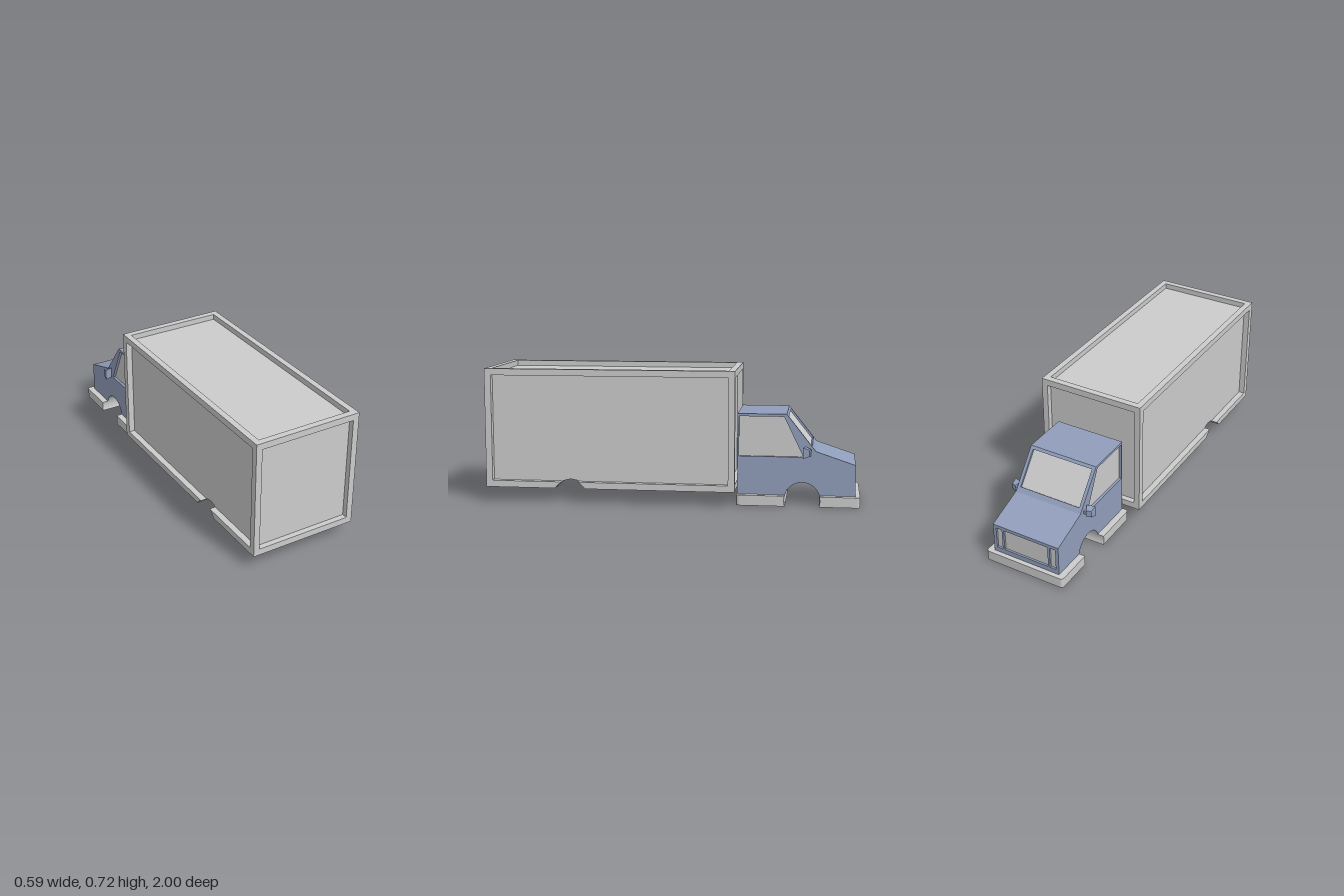
import * as THREE from 'three';
import { toCreasedNormals } from 'three/addons/utils/BufferGeometryUtils.js';

const grey = new THREE.MeshStandardMaterial({ color: 0xcccccc, side: THREE.DoubleSide });
const blue = new THREE.MeshStandardMaterial({ color: 0x919ebb });
const ARCH_R = 0.095, ARCH_Y = 0.03, FRONT_AXLE = -0.695, REAR_AXLE = 0.54;

const archHalf = (y) => Math.sqrt(ARCH_R ** 2 - (y - ARCH_Y) ** 2);

function add(parent, name, geometry, material) {
  const mesh = new THREE.Mesh(geometry, material);
  mesh.name = name;
  parent.add(mesh);
  return mesh;
}

// Extrudes a side profile drawn as (z, y) between two x positions
function slab(shape, x0, x1) {
  const g = new THREE.ExtrudeGeometry(shape, { depth: x1 - x0, bevelEnabled: false, curveSegments: 20 });
  g.rotateY(-Math.PI / 2).translate(x1, 0, 0);
  return toCreasedNormals(g, 0.5);
}

// Points along a wheel arch from +z to -z, starting and ending at height y
function archPoints(zc, y) {
  const a = Math.asin((y - ARCH_Y) / ARCH_R), n = 20;
  return Array.from({ length: n + 1 }, (_, i) => {
    const t = a + (Math.PI - 2 * a) * i / n;
    return [zc + ARCH_R * Math.cos(t), ARCH_Y + ARCH_R * Math.sin(t)];
  });
}

const shapeOf = (pts) => new THREE.Shape(pts.map(([a, b]) => new THREE.Vector2(a, b)));

function createCargoBox() {
  const box = new THREE.Group();
  box.name = 'cargoBox';
  const z0 = -0.343, z1 = 1, y0 = 0.08, y1 = 0.72, w = 0.295, rim = 0.035, d = 0.03;
  const zi0 = z0 + rim, zi1 = z1 - rim, yi0 = y0 + rim, yi1 = y1 - rim;
  // Core with recessed front, roof and rear panels
  add(box, 'boxCore', slab(shapeOf([
    ...archPoints(REAR_AXLE, y0),
    [z0, y0], [z0, yi0], [z0 + d, yi0], [z0 + d, yi1], [z0, yi1], [z0, y1],
    [zi0, y1], [zi0, y1 - d], [zi1, y1 - d], [zi1, y1],
    [z1, y1], [z1, yi1], [z1 - d, yi1], [z1 - d, yi0], [z1, yi0], [z1, y0],
  ]), -w + 0.033, w - 0.033), grey);
  // Side frames, broken where the wheel arch passes through the lower rail
  const half = archHalf(yi0);
  const arc = archPoints(REAR_AXLE, y0).filter((p) => p[1] < yi0);
  const frame = shapeOf([
    [REAR_AXLE - half, yi0],
    ...arc.filter((p) => p[0] < REAR_AXLE),
    [z0, y0], [z0, y1], [z1, y1], [z1, y0],
    ...arc.filter((p) => p[0] > REAR_AXLE),
    [REAR_AXLE + half, yi0],
    [zi1, yi0], [zi1, yi1], [zi0, yi1], [zi0, yi0],
  ]);
  add(box, 'leftFrame', slab(frame, w - 0.033, w), grey);
  add(box, 'rightFrame', slab(frame, -w, -w + 0.033), grey);
  return box;
}

function createCab() {
  const cab = new THREE.Group();
  cab.name = 'cab';
  const w = 0.195, skin = 0.018, inner = w - skin, back = -0.35, nose = -0.975;
  const A = [-0.61, 0.488], B = [-0.765, 0.292], depth = 0.014;
  // Point on the windshield slope, sunk below the surface
  const slope = (t, sink) => [
    A[0] + (B[0] - A[0]) * t + 0.784 * sink,
    A[1] + (B[1] - A[1]) * t - 0.62 * sink,
  ];
  const arch = archPoints(FRONT_AXLE, 0);
  const grille0 = 0.082, grille1 = 0.203;

  // Core with recessed windshield and grille
  add(cab, 'cabCore', slab(shapeOf([
    ...arch, [nose, 0], [nose, grille0], [nose + depth, grille0], [nose + depth, grille1],
    [nose, grille1], [nose, 0.222], B, slope(0.88, 0), slope(0.88, depth),
    slope(0.07, depth), slope(0.07, 0), A, [back, A[1]], [back, 0],
  ]), -inner, inner), blue);

  // Door skins with side window openings
  const side = shapeOf([...arch, [nose, 0], [nose, 0.222], B, A, [back, A[1]], [back, 0]]);
  const windowPts = [[-0.358, 0.474], [-0.596, 0.474], [-0.7, 0.26], [-0.358, 0.26]];
  side.holes.push(new THREE.Path(windowPts.map(([a, b]) => new THREE.Vector2(a, b))));
  add(cab, 'leftDoorSkin', slab(side, inner, w), blue);
  add(cab, 'rightDoorSkin', slab(side, -w, -inner), blue);

  // Glass panes
  const pane = shapeOf(windowPts);
  add(cab, 'leftWindow', slab(pane, inner, inner + 0.003), grey);
  add(cab, 'rightWindow', slab(pane, -inner - 0.003, -inner), grey);
  const shield = shapeOf([slope(0.07, depth), slope(0.07, depth - 0.003),
    slope(0.88, depth - 0.003), slope(0.88, depth)]);
  add(cab, 'windshield', slab(shield, -inner, inner), grey);

  // Grille panel, split from the headlights by two posts
  const gh = grille1 - grille0, gy = (grille0 + grille1) / 2;
  add(cab, 'grille', new THREE.BoxGeometry(inner * 2, gh, 0.003), grey)
    .position.set(0, gy, nose + depth - 0.0015);
  for (const s of [-1, 1]) {
    add(cab, 'headlightPost', new THREE.BoxGeometry(0.012, gh, depth), blue)
      .position.set(s * 0.137, gy, nose + depth / 2);
  }

  // Wheel arch lining
  const a = Math.asin(ARCH_Y / ARCH_R);
  const liner = new THREE.CylinderGeometry(ARCH_R - 0.001, ARCH_R - 0.001, w * 2, 32, 1, true, -a, Math.PI + 2 * a);
  add(cab, 'wheelArch', liner.rotateZ(Math.PI / 2), grey).position.set(0, ARCH_Y, FRONT_AXLE);
  return cab;
}

// Skirt around the cab foot: end at the arch, closed end, and inner edge (distances towards the nose)
function skirt(archEnd, end, innerEnd) {
  const w = 0.23, wi = 0.195, r = 0.018, s = Math.sign(end - archEnd), h = 0.055;
  const shape = new THREE.Shape();
  shape.moveTo(-w, archEnd);
  shape.lineTo(-w, end - s * r);
  shape.quadraticCurveTo(-w, end, -w + r, end);
  shape.lineTo(w - r, end);
  shape.quadraticCurveTo(w, end, w, end - s * r);
  shape.lineTo(w, archEnd);
  shape.lineTo(wi, archEnd);
  shape.lineTo(wi, innerEnd);
  shape.lineTo(-wi, innerEnd);
  shape.lineTo(-wi, archEnd);
  const g = new THREE.ExtrudeGeometry(shape, { depth: h, steps: 6, bevelEnabled: false, curveSegments: 6 });
  g.rotateX(-Math.PI / 2);
  // Curve the cut ends to follow the wheel arch
  const p = g.attributes.position;
  for (let i = 0; i < p.count; i++) {
    if (Math.abs(p.getZ(i) + archEnd) < 1e-4) p.setZ(i, FRONT_AXLE - s * archHalf(p.getY(i)));
  }
  return toCreasedNormals(g, 0.6);
}

function createMirror() {
  const mirror = new THREE.Group();
  mirror.name = 'sideMirror';
  // Housing tapers towards the nose
  const g = new THREE.BoxGeometry(0.044, 0.06, 0.032);
  const p = g.attributes.position;
  for (let i = 0; i < p.count; i++) {
    if (p.getZ(i) < 0) p.setXY(i, p.getX(i) * 0.6 - 0.004, p.getY(i) * 0.6);
  }
  g.computeVertexNormals();
  const head = add(mirror, 'mirrorHousing', g, blue);
  head.position.set(0.225, 0.288, -0.72);
  head.rotation.y = -0.3;
  add(mirror, 'mirrorArm', new THREE.BoxGeometry(0.03, 0.016, 0.014), blue).position.set(0.202, 0.285, -0.728);
  return mirror;
}

export function createModel() {
  const truck = new THREE.Group();
  truck.name = 'boxTruck';
  truck.add(createCargoBox(), createCab());
  add(truck, 'frontBumper', skirt(0.788, 1, 0.975), grey);
  add(truck, 'rearSkirt', skirt(0.602, 0.346, 0.35), grey);
  const left = createMirror(), right = createMirror();
  right.scale.x = -1;
  truck.add(left, right);
  return truck;
}
